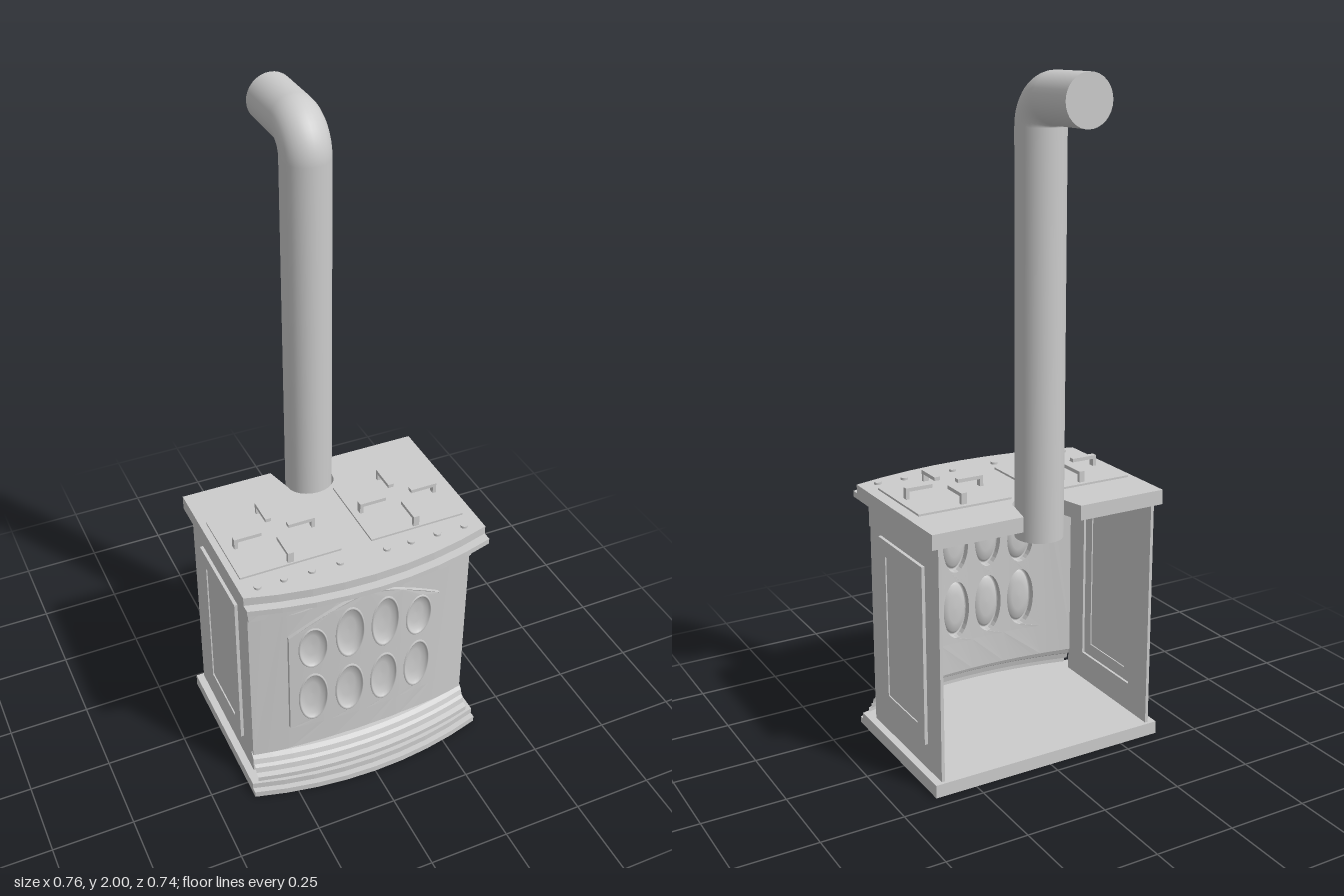
import * as THREE from 'three';

export function createModel() {
  const stove = new THREE.Group();
  const mat = new THREE.MeshStandardMaterial({ color: 0xcccccc, side: THREE.DoubleSide });
  const add = (name, geo, x = 0, y = 0, z = 0) => {
    const m = new THREE.Mesh(geo, mat);
    m.name = name;
    m.position.set(x, y, z);
    stove.add(m);
    return m;
  };
  const box = (name, w, h, d, x, y, z) => add(name, new THREE.BoxGeometry(w, h, d), x, y, z);
  const bow = (x, k) => -k * x * x;

  // Horizontal slab with a bowed front edge and an optional notch for the flue
  function slab(name, y0, y1, front, notch) {
    const s = new THREE.Shape();
    s.moveTo(-0.38, 0.21);
    for (let i = 0; i <= 8; i++) {
      const x = -0.38 + 0.095 * i;
      s.lineTo(x, -(front + bow(x, 0.4)));
    }
    s.lineTo(0.38, 0.21);
    if (notch) {
      s.lineTo(0.095, 0.21);
      for (let i = 0; i <= 12; i++) {
        const a = Math.PI * i / 12;
        s.lineTo(0.074 * Math.cos(a), 0.125 - 0.062 * Math.sin(a));
      }
      s.lineTo(-0.095, 0.21);
    }
    const g = new THREE.ExtrudeGeometry(s, { depth: y1 - y0, bevelEnabled: false });
    add(name, g.rotateX(-Math.PI / 2), 0, y0, 0);
  }
  slab('basePlinth', 0, 0.02, 0.37);
  slab('baseStep', 0.02, 0.04, 0.352);
  slab('hobLowerSlab', 0.75, 0.768, 0.37, true);
  slab('hobUpperSlab', 0.768, 0.795, 0.343, true);

  // Bowed upright panel made of vertical strips between the given x positions
  function panel(name, xs, lower, upper, z, depth, ovals = []) {
    for (let i = 0; i < xs.length - 1; i++) {
      const a = xs[i], b = xs[i + 1], n = 5;
      const s = new THREE.Shape();
      for (let j = 0; j <= n; j++) {
        const x = a + (b - a) * j / n;
        j ? s.lineTo(x, lower(x)) : s.moveTo(x, lower(x));
      }
      for (let j = n; j >= 0; j--) {
        const x = a + (b - a) * j / n;
        s.lineTo(x, upper(x));
      }
      for (const o of ovals) {
        if (o.x < a || o.x > b) continue;
        const p = new THREE.Path();
        p.absellipse(o.x, o.y, o.rx, o.ry, 0, Math.PI * 2, true);
        s.holes.push(p);
      }
      const g = new THREE.ExtrudeGeometry(s, { depth, bevelEnabled: false, curveSegments: 14 });
      const p = g.attributes.position;
      for (let k = 0; k < p.count; k++) p.setZ(k, p.getZ(k) + z + bow(p.getX(k), 0.3));
      g.computeVertexNormals();
      add(name, g);
    }
  }
  const doorTop = x => 0.685 - 0.105 * Math.pow(Math.abs(x) / 0.245, 1.5);
  const arch = x => Math.abs(x) > 0.24 ? 0.67 : 0.67 + 0.025 * (1 + Math.cos(Math.PI * x / 0.24));
  const doorXs = [-0.245, -0.1125, 0, 0.1125, 0.245];
  const flat = y => () => y;

  // Front casing around the door opening
  for (const xs of [[-0.357, -0.245], [0.245, 0.357]]) panel('frontCasing', xs, flat(0.11), flat(0.75), 0.275, 0.01);
  panel('frontCasing', doorXs, flat(0.11), flat(0.212), 0.275, 0.01);
  panel('frontCasing', doorXs, doorTop, flat(0.75), 0.275, 0.01);
  panel('archedFrieze', [-0.357, ...doorXs, 0.357], arch, flat(0.75), 0.284, 0.009);

  // Door with eight dished oval panes
  const ovals = [];
  for (const s of [-1, 1]) {
    ovals.push({ x: s * 0.057, y: 0.325, rx: 0.046, ry: 0.096 });
    ovals.push({ x: s * 0.172, y: 0.325, rx: 0.046, ry: 0.096 });
    ovals.push({ x: s * 0.057, y: 0.55, rx: 0.046, ry: 0.098 });
    ovals.push({ x: s * 0.172, y: 0.525, rx: 0.045, ry: 0.078 });
  }
  panel('door', doorXs, flat(0.21), doorTop, 0.275, 0.021, ovals);
  const dish = [[0, -0.014], [0.5, -0.013], [0.82, -0.008], [0.9, 0.001], [0.96, 0.003], [1.03, -0.002]]
    .map(([r, y]) => new THREE.Vector2(r, y));
  const dishGeo = new THREE.LatheGeometry(dish, 28).rotateX(Math.PI / 2);
  for (const o of ovals) {
    const m = add('ovalPane', dishGeo, o.x, o.y, 0.296 + bow(o.x, 0.3));
    m.scale.set(o.rx, o.ry, 1);
    m.rotation.y = Math.atan(0.6 * o.x);
  }

  // Stepped moulding swept across the foot of the front
  const profile = [[0.04, 0.338], [0.056, 0.338], [0.06, 0.322], [0.078, 0.318], [0.084, 0.308],
    [0.1, 0.302], [0.11, 0.29], [0.12, 0.285]];
  const pos = [], idx = [], N = 12;
  profile.forEach(([y, z], r) => {
    for (let i = 0; i <= N; i++) {
      const x = -0.36 + 0.72 * i / N;
      pos.push(x, y, z + bow(x, 0.36));
      if (r && i) {
        const d = r * (N + 1) + i, c = d - 1, b = d - N - 1, a = b - 1;
        idx.push(a, b, d, a, d, c);
      }
    }
  });
  let mould = new THREE.BufferGeometry();
  mould.setAttribute('position', new THREE.Float32BufferAttribute(pos, 3));
  mould.setIndex(idx);
  mould = mould.toNonIndexed();
  mould.computeVertexNormals();
  add('baseMoulding', mould);

  // Side walls with a raised frame and sunken centre panel; the back is open
  function frame(z0, z1, y0, y1, inset, depth) {
    const rect = (S, a, b, c, d) => new S([[a, c], [b, c], [b, d], [a, d]].map(q => new THREE.Vector2(...q)));
    const s = rect(THREE.Shape, -z1, -z0, y0, y1);
    s.holes.push(rect(THREE.Path, -z1 + inset[0], -z0 - inset[1], y0 + inset[2], y1 - inset[3]));
    return new THREE.ExtrudeGeometry(s, { depth, bevelEnabled: false }).rotateY(Math.PI / 2);
  }
  for (const side of [-1, 1]) {
    const x = d => side > 0 ? d : -d;
    const off = (d, t) => side > 0 ? d : -d - t;
    add('sideWall', frame(-0.2, 0.245, 0.04, 0.75, [0.085, 0.095, 0.09, 0.095], 0.01), off(0.347, 0.01));
    add('sideFrame', frame(-0.115, 0.17, 0.12, 0.667, [0.045, 0.045, 0.05, 0.05], 0.012), off(0.355, 0.012));
    box('sidePanel', 0.004, 0.5, 0.24, x(0.361), 0.393, 0.027);
  }

  // Hotplate lids, each with four bent handles pointing to the centre
  for (const [x0, x1, cx] of [[-0.36, -0.048, -0.203], [0.047, 0.345, 0.194]]) {
    box('hotplateLid', x1 - x0, 0.006, 0.27, (x0 + x1) / 2, 0.798, 0.075);
    for (let i = 0; i < 4; i++) {
      const h = new THREE.Group();
      h.name = 'lidHandle';
      const bar = new THREE.Mesh(new THREE.BoxGeometry(0.084, 0.011, 0.018), mat);
      bar.position.set(0.084, 0.829, 0);
      const post = new THREE.Mesh(new THREE.BoxGeometry(0.011, 0.03, 0.018), mat);
      post.position.set(0.1205, 0.812, 0);
      h.add(bar, post);
      h.position.set(cx, 0, 0.08);
      h.rotation.y = i * Math.PI / 2;
      stove.add(h);
    }
  }

  // Row of control studs
  for (const x of [-0.327, -0.248, -0.163, -0.075, 0.072, 0.15, 0.235, 0.323])
    add('controlStud', new THREE.CylinderGeometry(0.011, 0.011, 0.008, 16), x, 0.798, 0.26);

  // Flue pipe: upright, elbow and horizontal outlet
  const R = 0.071, zc = -0.136, bend = 0.077, top = 2 - R;
  const up = top - bend;
  add('flueUpright', new THREE.CylinderGeometry(R, R, up - 0.7, 32), 0, (up + 0.7) / 2, zc);
  add('flueElbow', new THREE.TorusGeometry(bend, R, 32, 12, Math.PI / 2).rotateY(-Math.PI / 2), 0, up, zc - bend);
  const len = 0.37 + zc - bend;
  add('flueOutlet', new THREE.CylinderGeometry(R, R, len, 32).rotateX(Math.PI / 2), 0, top, -0.37 + len / 2);

  return stove;
}
